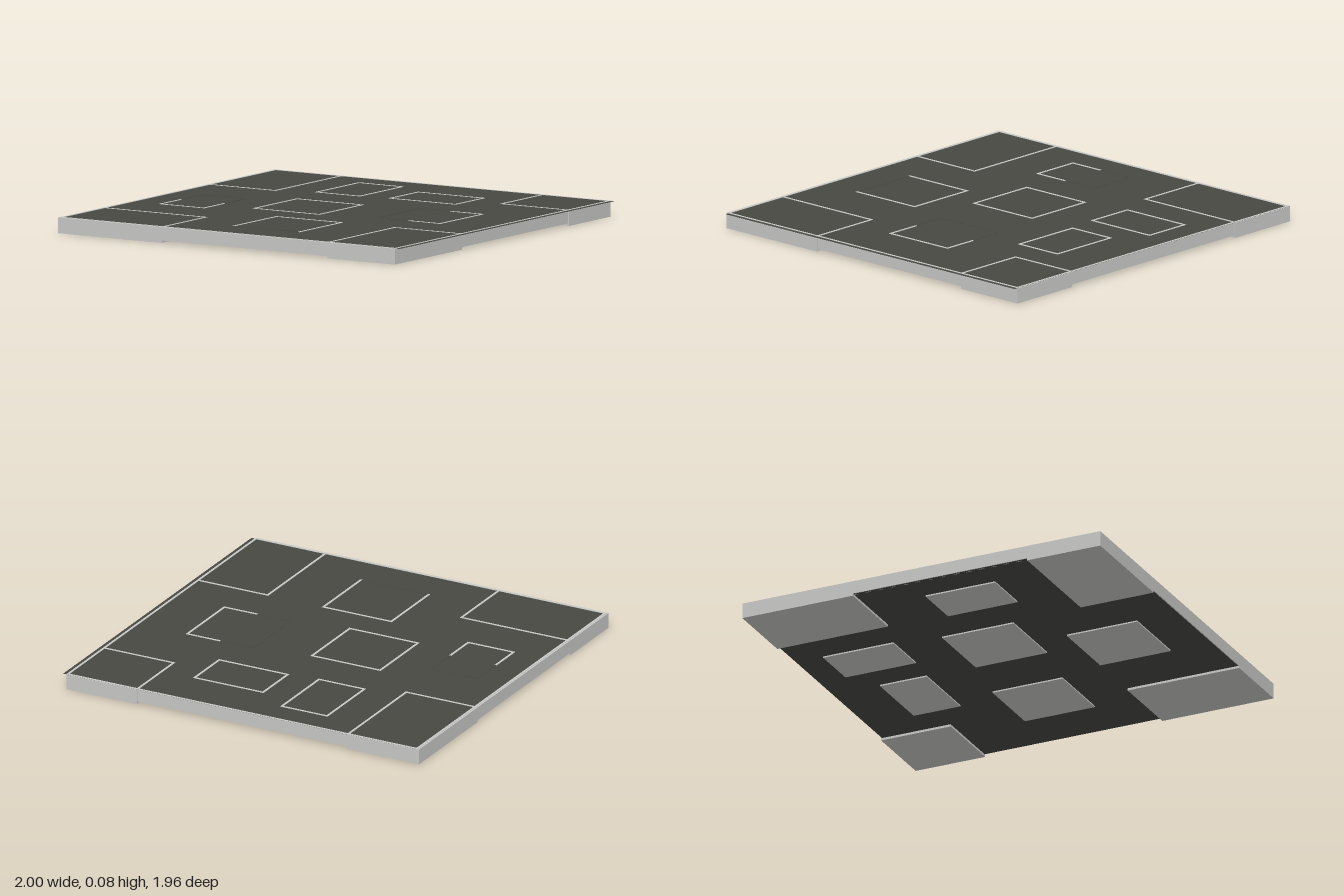
import * as THREE from 'three';

export function createModel() {
  const group = new THREE.Group();
  const light = new THREE.MeshStandardMaterial({ color: 0xc8c8c6 });
  light.name = 'light stone';
  const dark = new THREE.MeshStandardMaterial({ color: 0x484843 });
  dark.name = 'dark floor';

  // Box given by its limits on each axis
  function box(name, x0, x1, y0, y1, z0, z1, material) {
    const mesh = new THREE.Mesh(new THREE.BoxGeometry(x1 - x0, y1 - y0, z1 - z0), material);
    mesh.position.set((x0 + x1) / 2, (y0 + y1) / 2, (z0 + z1) / 2);
    mesh.name = name;
    group.add(mesh);
  }

  const TOP = 0.079, W = 0.006;
  // Raised line along x or z, centred on the given segment
  function line(name, x0, z0, x1, z1, material = light, w = W, h = 0.0015) {
    box(name, Math.min(x0, x1) - w, Math.max(x0, x1) + w, TOP, TOP + h,
      Math.min(z0, z1) - w, Math.max(z0, z1) + w, material);
  }
  const path = (name, points, material, w, h) => {
    for (let i = 1; i < points.length; i++) line(name, ...points[i - 1], ...points[i], material, w, h);
  };

  // Slab with light sides, dark underside and a dark sheet on top, shifted to +x
  box('slab', -0.995, 0.975, 0.012, 0.078, -0.975, 0.975, [light, light, dark, dark, light, light]);
  box('topSheet', -0.98, 1, 0.078, TOP, -0.978, 0.966, dark);
  path('edgeTrim', [[-0.986, -0.973], [0.976, -0.973], [0.976, 0.966], [-0.986, 0.966], [-0.986, -0.973]]);
  box('leftRim', -1, -0.98, 0.012, TOP, -0.98, 0.98, light);
  box('frontRim', -1, 0.98, 0.012, TOP, 0.966, 0.98, light);

  // Corner blocks down to the ground, with their inner outlines
  const corners = [
    [-1, -0.6, -0.98, -0.375], [0.585, 0.98, -0.98, -0.6],
    [-1, -0.39, 0.58, 0.98], [0.585, 0.98, 0.37, 0.98],
  ];
  for (const [x0, x1, z0, z1] of corners) {
    box('cornerBlock', x0, x1, 0, 0.077, z0, z1, light);
    const x = x0 < -0.9 ? x1 : x0, outerX = x0 < -0.9 ? -0.98 : 0.97;
    const z = z0 < -0.9 ? z1 : z0, outerZ = z0 < -0.9 ? -0.97 : 0.96;
    path('cornerOutline', [[outerX, z], [x, z], [x, outerZ]]);
  }

  // Inner blocks, showing under the slab
  const blocks = [
    [-0.4, -0.145, -0.825, -0.44], [0.02, 0.405, -0.715, -0.46], [-0.355, 0.028, -0.195, 0.195],
    [-0.825, -0.57, -0.06, 0.32], [0.33, 0.7, -0.248, 0.135], [-0.11, 0.272, 0.37, 0.755],
  ];
  blocks.forEach(([x0, x1, z0, z1], i) => {
    box('innerBlock', x0, x1, 0.005, 0.07, z0, z1, light);
    const xm = (x0 + x1) / 2 + 0.005, zm = (z0 + z1) / 2 + 0.01;
    // Outline: closed, or open on one side where a thin dark lip completes it
    if (i < 3) {
      path('blockOutline', [[x0, z0], [x1, z0], [x1, z1], [x0, z1], [x0, z0]]);
    } else {
      const [pale, dim] = [
        [[[x0, zm], [x0, z1], [x1, z1], [x1, zm]], [[x0, zm], [x0, z0], [x1, z0], [x1, zm]]],
        [[[xm, z0], [x1, z0], [x1, z1], [xm, z1]], [[xm, z0], [x0, z0], [x0, z1], [xm, z1]]],
        [[[x0, z1], [x0, z0], [x1, z0], [x1, z1]], [[x0, z1], [x1, z1]]],
      ][i - 3];
      path('blockOutline', pale);
      path('blockLip', dim, dark, 0.002, 0.0014);
    }
  });

  return group;
}
